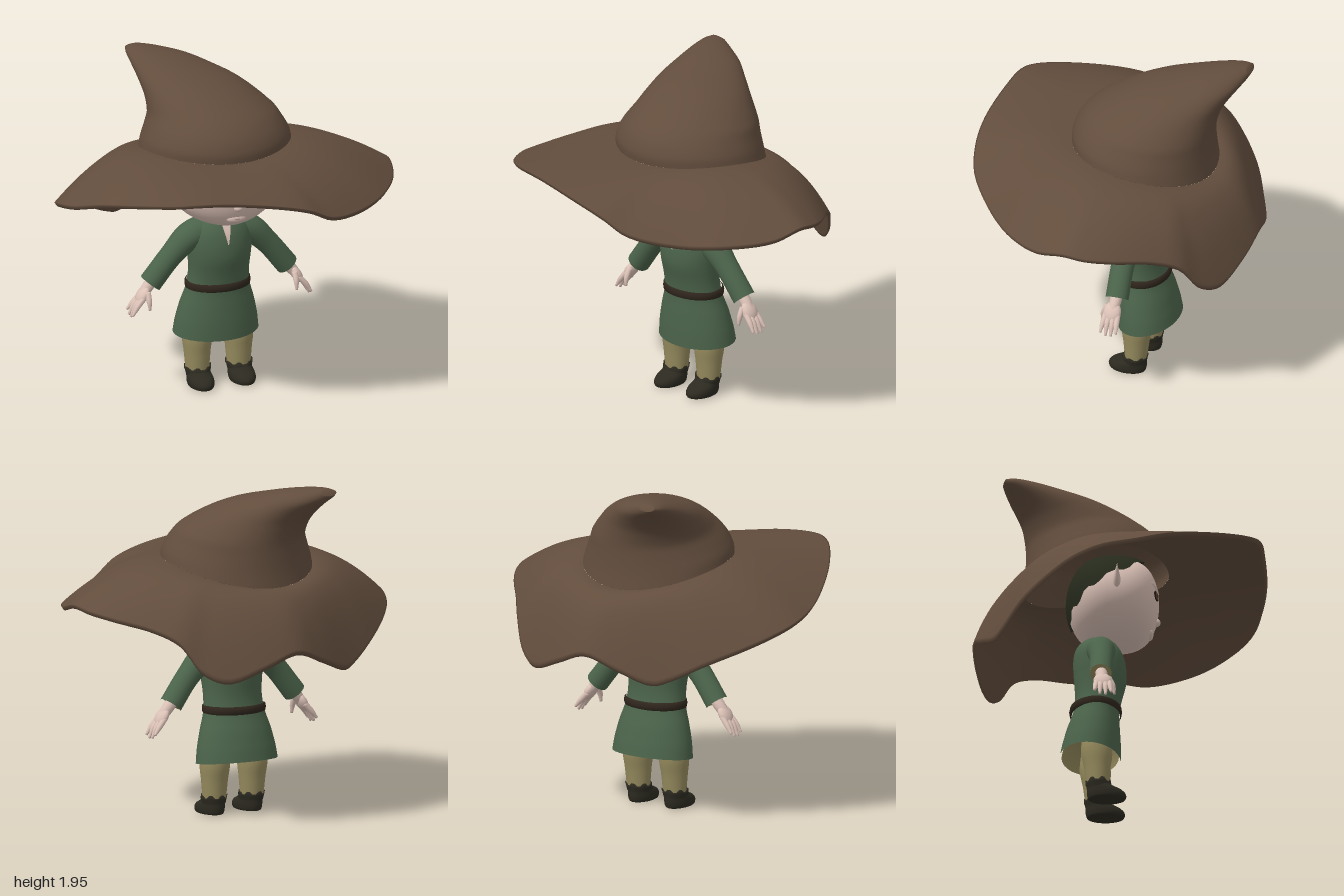
import * as THREE from 'three';

const mat = (name, color, side = THREE.FrontSide) => {
  const m = new THREE.MeshStandardMaterial({ color, side });
  m.name = name;
  return m;
};
const V = (x, y, z) => new THREE.Vector3(x, y, z);
const range = (n, f) => Array.from({ length: n }, (_, i) => f(i));

// Skin over closed rings of points; optional rounded-off ends
function loft(rings, capStart = false, capEnd = false) {
  const n = rings[0].length, pos = [], idx = [];
  rings.forEach(r => r.forEach(p => pos.push(p.x, p.y, p.z)));
  for (let i = 0; i < rings.length - 1; i++) for (let j = 0; j < n; j++) {
    const a = i * n + j, b = i * n + (j + 1) % n;
    idx.push(a, a + n, b, a + n, b + n, b);
  }
  const cap = (row, flip) => {
    const c = rings[row].reduce((s, p) => s.add(p), V(0, 0, 0)).divideScalar(n);
    const k = pos.length / 3;
    pos.push(c.x, c.y, c.z);
    for (let j = 0; j < n; j++) {
      const a = row * n + j, b = row * n + (j + 1) % n;
      idx.push(k, ...(flip ? [b, a] : [a, b]));
    }
  };
  if (capStart) cap(0, false);
  if (capEnd) cap(rings.length - 1, true);
  const g = new THREE.BufferGeometry();
  g.setAttribute('position', new THREE.Float32BufferAttribute(pos, 3));
  g.setIndex(idx);
  g.computeVertexNormals();
  return g;
}

// Smoothly resample the columns of a profile table
function resample(rows, n) {
  const cols = rows[0].map((_, c) => new THREE.SplineCurve(rows.map((r, i) => new THREE.Vector2(i, r[c]))));
  return range(n, i => cols.map(s => s.getPoint(i / (n - 1)).y));
}

// Rows: height, half width, front z, back z
const ovalRings = (rows, n = 36) => rows.map(([y, rx, zf, zb]) => range(n, j => {
  const a = j / n * Math.PI * 2;
  return V(rx * Math.cos(a), y, (zf + zb) / 2 + (zf - zb) / 2 * Math.sin(a));
}));

// Round limb with varying radius along a curve
function limb(points, radii, caps = true, sides = 14, steps = 14) {
  const curve = new THREE.CatmullRomCurve3(points.map(p => V(...p)));
  const f = curve.computeFrenetFrames(steps);
  const rad = resample(radii.map(r => [r]), steps + 1);
  return loft(range(steps + 1, i => range(sides, j => {
    const a = j / sides * Math.PI * 2, r = rad[i][0];
    return curve.getPoint(i / steps).addScaledVector(f.normals[i], r * Math.cos(a))
      .addScaledVector(f.binormals[i], -r * Math.sin(a));
  })), caps, caps);
}

// Head surface at height y and angle a, grown by k; the face is fuller towards the chin
const headR = (y, k = 1) => Math.sqrt(Math.max(0, 1 - ((y - 1.3) / (0.265 * k)) ** 2));
function headPoint(a, y, k = 1) {
  const r = headR(y, k), s = Math.sin(a), depth = Math.abs(s) ** 0.85;
  return V(0.34 * k * r * Math.cos(a), y,
    -0.04 + k * depth * (s > 0 ? 0.265 * r ** 0.55 : -0.26 * r ** 0.8));
}
const faceZ = (x, y) => headPoint(Math.acos(x / (0.34 * headR(y))), y).z;

export function createModel() {
  const root = new THREE.Group();
  root.name = 'hattedFigure';
  const hat = mat('hatBrown', 0x624d3d, THREE.DoubleSide);
  const skin = mat('skin', 0xdcc2b7), lip = mat('lip', 0xa88a80);
  const green = mat('tunicGreen', 0x4b634a), khaki = mat('trouserKhaki', 0x968b5e);
  const boot = mat('bootDark', 0x2c2a20), belt = mat('beltBrown', 0x2f261d);
  const hair = mat('hairDark', 0x262a1c, THREE.DoubleSide);
  const iris = mat('irisBrown', 0x644632), dark = mat('eyeDark', 0x2a201b);
  const body = new THREE.Group();
  body.name = 'body';
  body.position.x = -0.006;
  root.add(body);
  const add = (name, geo, m, parent = body) => {
    const mesh = new THREE.Mesh(geo, m);
    mesh.name = name;
    parent.add(mesh);
    return mesh;
  };

  // Crown: front z,y, back z,y, left and right x of each leaning ring
  const crown = resample([
    [.285, 1.5, -.56, 1.38, -.47, .42], [.285, 1.56, -.55, 1.46, -.46, .405],
    [.25, 1.64, -.545, 1.55, -.43, .37], [.17, 1.72, -.545, 1.63, -.40, .33],
    [.03, 1.8, -.555, 1.7, -.39, .25], [-.12, 1.86, -.57, 1.75, -.39, .17],
    [-.28, 1.9, -.6, 1.8, -.39, .07], [-.45, 1.935, -.64, 1.85, -.39, -.05],
    [-.58, 1.95, -.67, 1.885, -.385, -.18], [-.66, 1.945, -.685, 1.91, -.37, -.27]], 46);
  add('hatCrown', loft(crown.map(([zf, yf, zb, yb, xl, xr], i) => range(56, j => {
    const a = j / 56 * Math.PI * 2, c = Math.cos(a), s = Math.sin(a);
    return V((xl + xr) / 2 + (xr - xl) / 2 * c,
      (yf + yb) / 2 + (yf - yb) / 2 * s + 0.06 * c * c * Math.max(0, 1 - i / 16),
      (zf + zb) / 2 + (zf - zb) / 2 * s);
  })), false, true), hat, root);

  // Brim: wavy rim curve joined to the crown base as a thin shell
  const rim = new THREE.CatmullRomCurve3([
    [1, 1.29, 0], [.96, 1.25, .18], [.82, 1.235, .4], [.6, 1.235, .6], [.35, 1.29, .78], [.2, 1.37, .83],
    [0, 1.43, .85], [-.3, 1.48, .83], [-.5, 1.49, .8], [-.6, 1.475, .74], [-.75, 1.43, .55],
    [-.9, 1.36, .28], [-.98, 1.28, .05], [-1, 1.23, -.15], [-.95, 1.18, -.3], [-.85, 1.12, -.43],
    [-.67, 1.03, -.59], [-.5, .94, -.69], [-.4, .91, -.74], [-.2, .98, -.81], [0, 1.05, -.85],
    [.2, .98, -.83], [.42, .905, -.765], [.55, .96, -.69], [.65, 1.12, -.6], [.75, 1.19, -.47],
    [.9, 1.24, -.28], [.98, 1.27, -.13]].map(p => V(...p)), true);
  const rimPts = range(120, i => rim.getPoint(i / 120));
  const ts = [...range(15, i => i / 15), 0.985, 1];
  const brimRing = (t, under) => rimPts.map(r => {
    const a = Math.atan2((r.z + 0.1375) / 0.4225, (r.x + 0.025) / 0.445);
    const c = Math.cos(a), s = Math.sin(a);
    const x = -0.025 + 0.445 * c, z = -0.1375 + 0.4225 * s, y = 1.44 + 0.06 * s + 0.06 * c * c;
    const k = under ? 0.986 : 1, droop = t ** (1.8 + 0.7 * Math.max(0, -s));
    return V((x + (r.x - x) * t) * k, y + (r.y - y) * droop - (under ? 0.02 : 0), (z + (r.z - z) * t) * k);
  });
  add('hatBrim', loft([...ts.map(t => brimRing(t, true)), ...[...ts].reverse().map(t => brimRing(t, false))]), hat, root);

  // Head, hair and neck
  add('head', loft(range(33, i => range(48, j =>
    headPoint(j / 24 * Math.PI, 1.3 - 0.2649 * Math.cos(i / 32 * Math.PI)))), true, true), skin);
  add('hair', loft(range(12, i => range(48, j => {
    const a = j / 24 * Math.PI, s = Math.sin(a);
    const y0 = 1.36 + (s > 0 ? 0.2 : 0.18) * s + (j % 4 < 2 ? 0.012 : -0.012) * (s < 0.5 ? 1 : 0);
    return headPoint(a, y0 + (1.578 - y0) * Math.sin(i / 11 * Math.PI / 2), 1.055);
  })), false, true), hair);
  add('neck', new THREE.CylinderGeometry(0.07, 0.075, 0.14, 24).translate(0, 1.05, -0.125), skin);

  // Face
  const blob = (name, x, y, z, sx, sy, sz) => {
    const b = add(name, new THREE.SphereGeometry(1, 20, 14), skin);
    b.position.set(x, y, z);
    b.scale.set(sx, sy, sz);
  };
  blob('nose', -0.006, 1.195, 0.2, 0.03, 0.026, 0.034);
  blob('lips', -0.006, 1.118, faceZ(0, 1.118) - 0.008, 0.06, 0.026, 0.018);
  const lipZ = faceZ(0, 1.118);
  add('mouth', limb([[-.05, 1.124, lipZ - 0.004], [-.006, 1.117, lipZ + 0.008], [.038, 1.124, lipZ - 0.004]],
    [.002, .004, .002]), lip);
  for (const s of [1, -1]) {
    const ex = s * 0.14, z = faceZ(ex, 1.305);
    const eye = new THREE.Group();
    eye.name = s > 0 ? 'leftEye' : 'rightEye';
    eye.position.set(ex, 1.303, z);
    eye.rotation.set(0, s * 0.3, s * 0.1);
    body.add(eye);
    [['eyeRim', .041, .029, .007, dark], ['iris', .032, .025, .010, iris], ['pupil', .014, .015, .0125, dark]]
      .forEach(([n, x, y, d, m]) => add(n, new THREE.SphereGeometry(1, 20, 12).scale(x, y, d), m, eye));
    add('brow', limb([[.05, 1.315], [.1, 1.34], [.17, 1.36], [.22, 1.358]]
      .map(([x, y]) => [s * x, y, faceZ(x, y) - 0.006]), [.006, .013, .012, .004]), skin);
    add('ear', limb([[s * .28, 1.305, 0], [s * .35, 1.325, 0], [s * .44, 1.37, 0]], [.06, .042, .003])
      .scale(1, 1, 0.5).translate(0, 0, -0.03), skin);
  }

  // Tunic, its lining, collar opening and belt
  const tunic = resample([
    [.305, .257, .005, -.35], [.4, .245, .005, -.335], [.5, .222, 0, -.31], [.6, .192, -.005, -.275],
    [.7, .182, .01, -.26], [.8, .188, .035, -.265], [.88, .195, .037, -.27], [.95, .19, .025, -.27],
    [1.0, .165, .005, -.26], [1.04, .12, -.02, -.235], [1.07, .075, -.05, -.2]], 44);
  const tunicRings = ovalRings(tunic);
  tunicRings.slice(0, 6).forEach((ring, i) => ring.forEach(p => {
    p.y += (1 - i / 6) * (0.01 - 0.1 * (p.z + 0.17));
  }));
  add('tunic', loft(tunicRings), green);
  add('tunicLining', loft([...ovalRings([[.335, .244, -.007, -.338], [.5, .21, -.012, -.3],
    [.52, .002, -.14, -.142]])].reverse()), khaki);
  const collar = tunic.filter(r => r[0] > 0.9).map(([y, , zf]) => [y, 0.036 * (y - 0.89) / 0.17, zf + 0.003]);
  const strip = new THREE.BufferGeometry();
  strip.setAttribute('position', new THREE.Float32BufferAttribute(
    collar.flatMap(([y, w, z]) => [-w, y, z, w, y, z]), 3));
  strip.setIndex(range(collar.length - 1, i => [2 * i, 2 * i + 1, 2 * i + 2, 2 * i + 1, 2 * i + 3, 2 * i + 2]).flat());
  strip.computeVertexNormals();
  add('collarOpening', strip, skin);
  add('belt', loft(ovalRings([[.598, .188, 0, -.28], [.602, .194, .008, -.29], [.622, .197, .011, -.294],
    [.64, .194, .008, -.29], [.646, .184, 0, -.28]])), belt);

  for (const s of [1, -1]) {
    // Arm and hand
    const m = pts => pts.map(([x, y, z]) => [s * x, y, z]);
    const side = s > 0 ? 'left' : 'right';
    const arm = new THREE.Group();
    arm.name = side + 'Arm';
    body.add(arm);
    add('sleeve', limb(m([[.09, .965, -.12], [.19, .925, -.115], [.295, .828, -.115], [.423, .668, -.125]]),
      [.085, .083, .068, .067], false, 24, 24), green, arm);
    add('sleeveLining', limb(m([[.36, .74, -.121], [.412, .681, -.124]]), [.055, .063]), khaki, arm);
    add('wrist', limb(m([[.39, .71, -.12], [.44, .65, -.12], [.475, .605, -.115]]), [.036, .034, .03]), skin, arm);
    const palm = add('palm', new THREE.SphereGeometry(1, 18, 14).scale(.03, .062, .053), skin, arm);
    palm.position.set(s * .475, .605, -.115);
    palm.rotation.z = s * 0.55;
    [[-.08, -.068, .5], [-.1, -.1, .485], [-.127, -.133, .488], [-.15, -.164, .51]].forEach(([z0, z1, y]) =>
      add('finger', limb(m([[.475, .6, z0], [.52, .55, (z0 + z1) / 2], [.552, y, z1]]), [.017, .016, .008], true, 10, 10), skin, arm));
    add('thumb', limb(m([[.455, .63, -.08], [.455, .58, -.055], [.454, .53, -.046]]), [.018, .016, .008], true, 10, 10), skin, arm);

    // Leg and boot
    const leg = new THREE.Group();
    leg.name = side + 'Leg';
    leg.position.x = s * 0.128;
    body.add(leg);
    add('trouserLeg', loft(ovalRings(resample([[.08, .068, -.07, -.195], [.2, .078, -.06, -.21],
      [.32, .087, -.05, -.23], [.48, .06, -.09, -.21]], 14), 24)), khaki, leg);
    add('boot', loft(ovalRings(resample([[.004, .05, 0, -.175], [.01, .068, .025, -.188], [.035, .075, .032, -.195],
      [.06, .074, .012, -.196], [.08, .07, -.03, -.196], [.1, .069, -.058, -.196]], 22), 28), true), boot, leg);
    const cuff = ovalRings([[.07, .07, -.045, -.196], [.095, .075, -.052, -.2], [.115, .08, -.056, -.205],
      [.105, .066, -.068, -.19]], 28);
    cuff[2].forEach((p, j) => { p.y += j % 4 < 2 ? 0.008 : -0.01; });
    add('bootCuff', loft(cuff, false, true), boot, leg);
  }
  return root;
}
